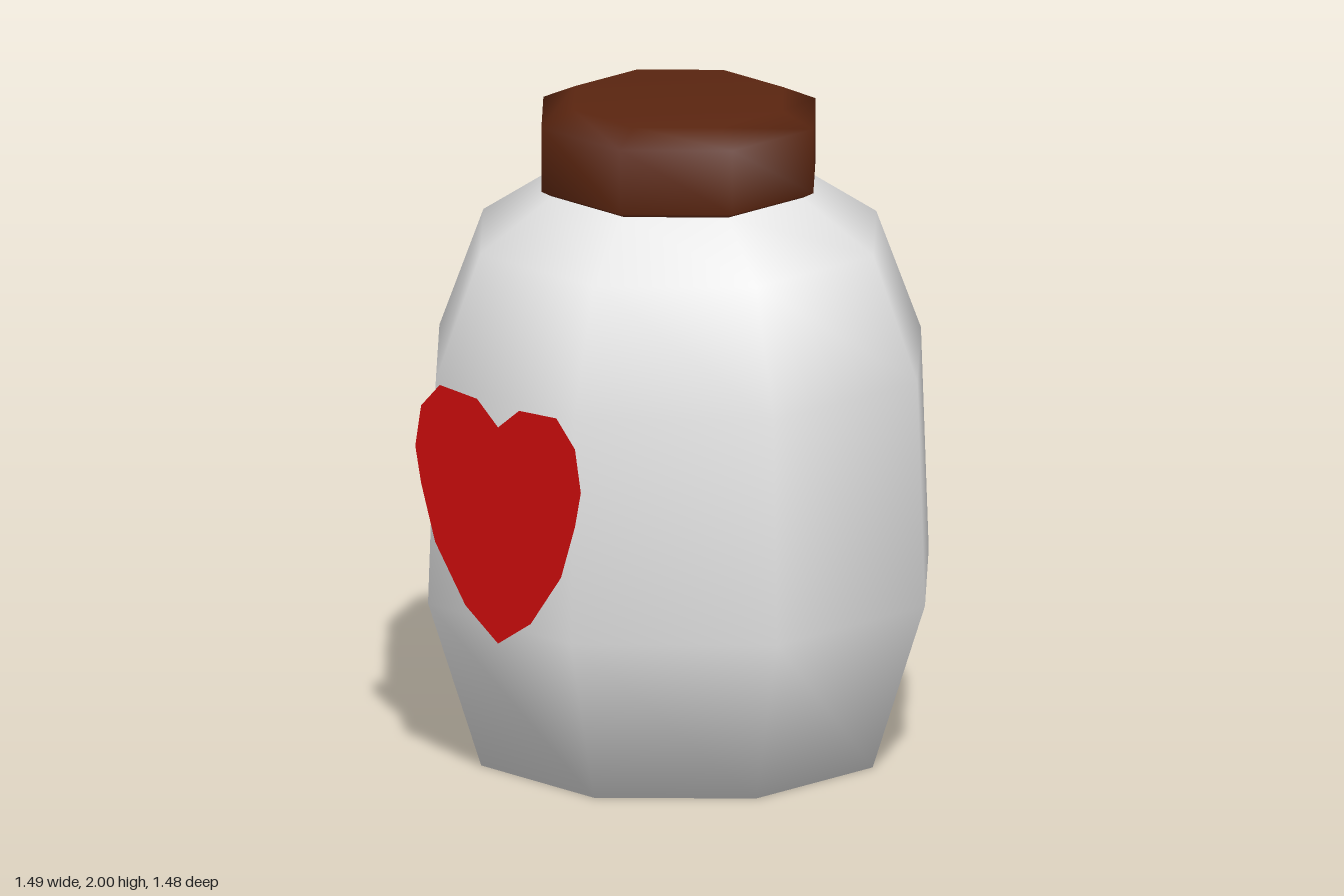
import * as THREE from 'three';

const SIDES = 8;

// Smooth-shaded octagonal body; profile lists [distance to flat side, height] from bottom to top
function octagon(name, profile, material) {
  const k = 1 / Math.cos(Math.PI / SIDES);
  const points = profile.map(([r, y]) => new THREE.Vector2(r * k, y));
  const mesh = new THREE.Mesh(new THREE.LatheGeometry(points, SIDES, Math.PI / SIDES), material);
  mesh.name = name;
  mesh.position.x = 0.004;
  return mesh;
}

export function createModel() {
  const glass = new THREE.MeshStandardMaterial({ color: 0xe6e6e6 });
  glass.name = 'pale glass';
  const wood = new THREE.MeshStandardMaterial({ color: 0x5a2510 });
  wood.name = 'brown lid';
  const red = new THREE.MeshStandardMaterial({ color: 0xd40d0d, side: THREE.DoubleSide });
  red.name = 'heart red';

  const group = new THREE.Group();
  group.name = 'jar';

  // Jar with closed base; the neck ends inside the lid
  group.add(octagon('jarBody', [
    [0, 0], [0.583, 0], [0.74, 0.52], [0.717, 1.21], [0.585, 1.585], [0.37, 1.74], [0.33, 1.77],
  ], glass));

  // Lid with chamfered rims
  group.add(octagon('lid', [
    [0, 1.74], [0.375, 1.74], [0.405, 1.757], [0.405, 1.955], [0.31, 2], [0, 2],
  ], wood));

  // Heart label on the model's right side, mirrored from one half outline
  const half = [[0.09, 1.2], [0.25, 1.21], [0.33, 1.13], [0.355, 1.0], [0.33, 0.89], [0.27, 0.72], [0.14, 0.55]];
  const outline = [
    [0, 1.13], ...half, [0, 0.46],
    ...half.map(([x, y]) => [-x, y]).reverse(),
  ].map(([x, y]) => new THREE.Vector2(x, y));
  const heart = new THREE.Mesh(new THREE.ShapeGeometry(new THREE.Shape(outline)), red);
  heart.name = 'heartLabel';
  heart.rotation.y = -Math.PI / 2;
  heart.position.x = -0.742;
  group.add(heart);

  return group;
}
